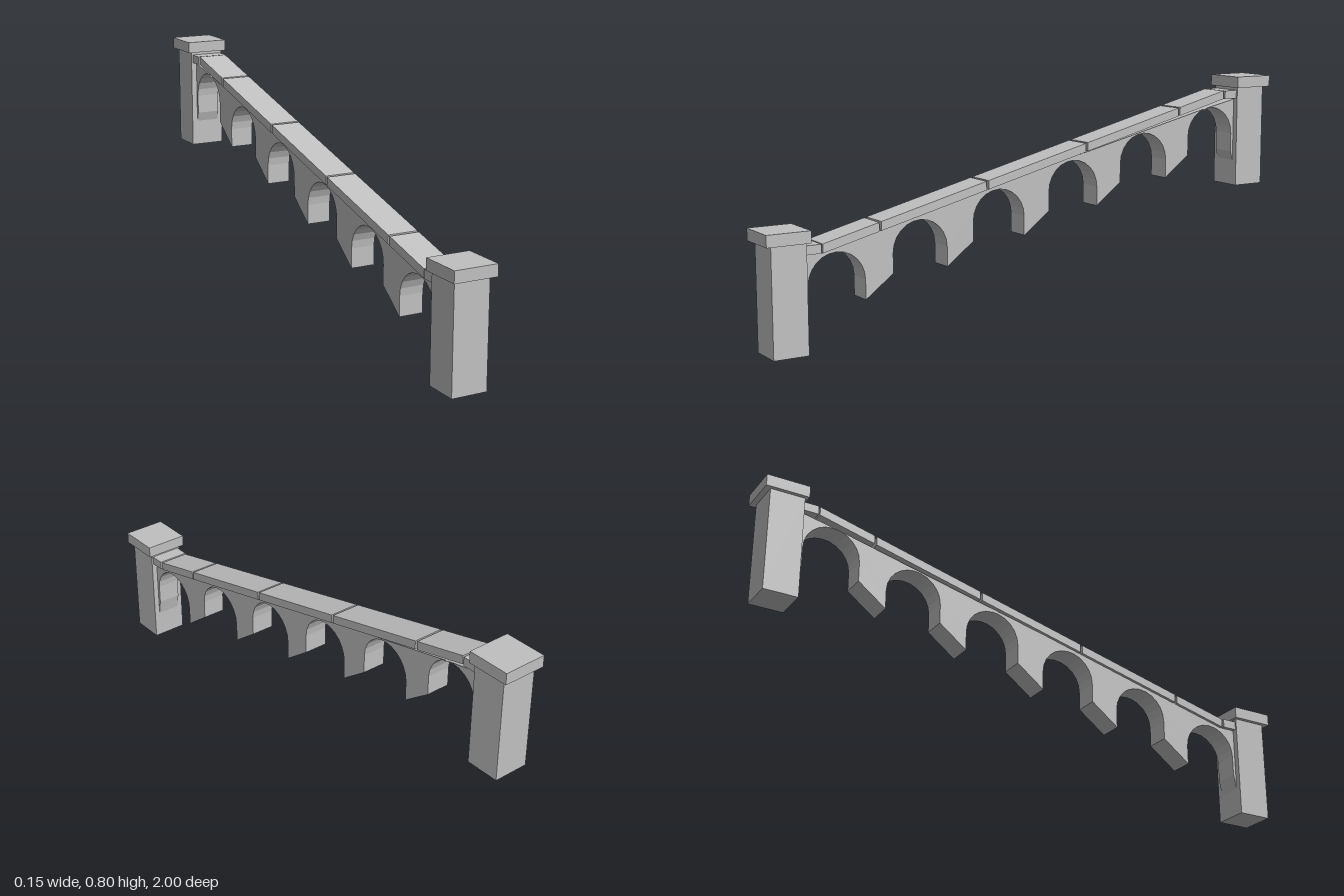
import * as THREE from 'three';

const stone = new THREE.MeshStandardMaterial({ color: 0xc0c0c0 });
stone.name = 'stone grey';

function box(name, w, y0, y1, z0, z1) {
  const mesh = new THREE.Mesh(new THREE.BoxGeometry(w, y1 - y0, Math.abs(z1 - z0)), stone);
  mesh.position.set(0, (y0 + y1) / 2, (z0 + z1) / 2);
  mesh.name = name;
  return mesh;
}

// Side profile of [z, y] points, extruded across the width in x
function profile(name, points, width) {
  const shape = new THREE.Shape(points.map(([z, y]) => new THREE.Vector2(z, y)));
  const geometry = new THREE.ExtrudeGeometry(shape, { depth: width, bevelEnabled: false });
  geometry.translate(0, 0, -width / 2);
  geometry.rotateY(-Math.PI / 2);
  const mesh = new THREE.Mesh(geometry, stone);
  mesh.name = name;
  return mesh;
}

export function createModel() {
  const model = new THREE.Group();
  model.name = 'slopedArcadeWall';

  // End pillars, caps and the short level coping beside each
  for (const [name, side, base] of [['lower', 1, 0], ['upper', -1, 0.4]]) {
    model.add(
      box(name + 'Pillar', 0.124, base, base + 0.36, side * 0.86, side * 0.98),
      box(name + 'Cap', 0.152, base + 0.36, base + 0.4, side * 0.85, side),
      box(name + 'LevelCoping', 0.112, base + 0.32, base + 0.35, side * 0.808, side * 0.87)
    );
  }

  // Sloping coping stones with narrow joints
  const joints = [0.806, 0.6, 0.2, -0.2, -0.6, -0.806];
  const top = z => 0.55 - 0.25 * z;
  for (let i = 0; i < joints.length - 1; i++) {
    const a = joints[i] - 0.004, b = joints[i + 1] + 0.004;
    model.add(profile('copingStone' + (i + 1),
      [[a, top(a) - 0.03], [a, top(a)], [b, top(b)], [b, top(b) - 0.03]], 0.106));
  }

  // Wall with six stepped arches; pier feet slant from one arch to the next
  const points = [[-0.862, 0.717], [0.862, 0.317], [0.862, 0.085]];
  for (let i = 0; i < 6; i++) {
    const z = 0.75 - 0.3 * i, foot = 0.15 + 0.075 * i;
    points.push([z + 0.1, foot]);
    for (let k = 0; k <= 12; k++) {
      const t = Math.PI * k / 12;
      points.push([z + 0.1 * Math.cos(t), foot + 0.067 + 0.1 * Math.sin(t)]);
    }
    points.push([z - 0.1, foot]);
  }
  points.push([-0.862, 0.485]);
  model.add(profile('archedWall', points, 0.084));

  return model;
}
